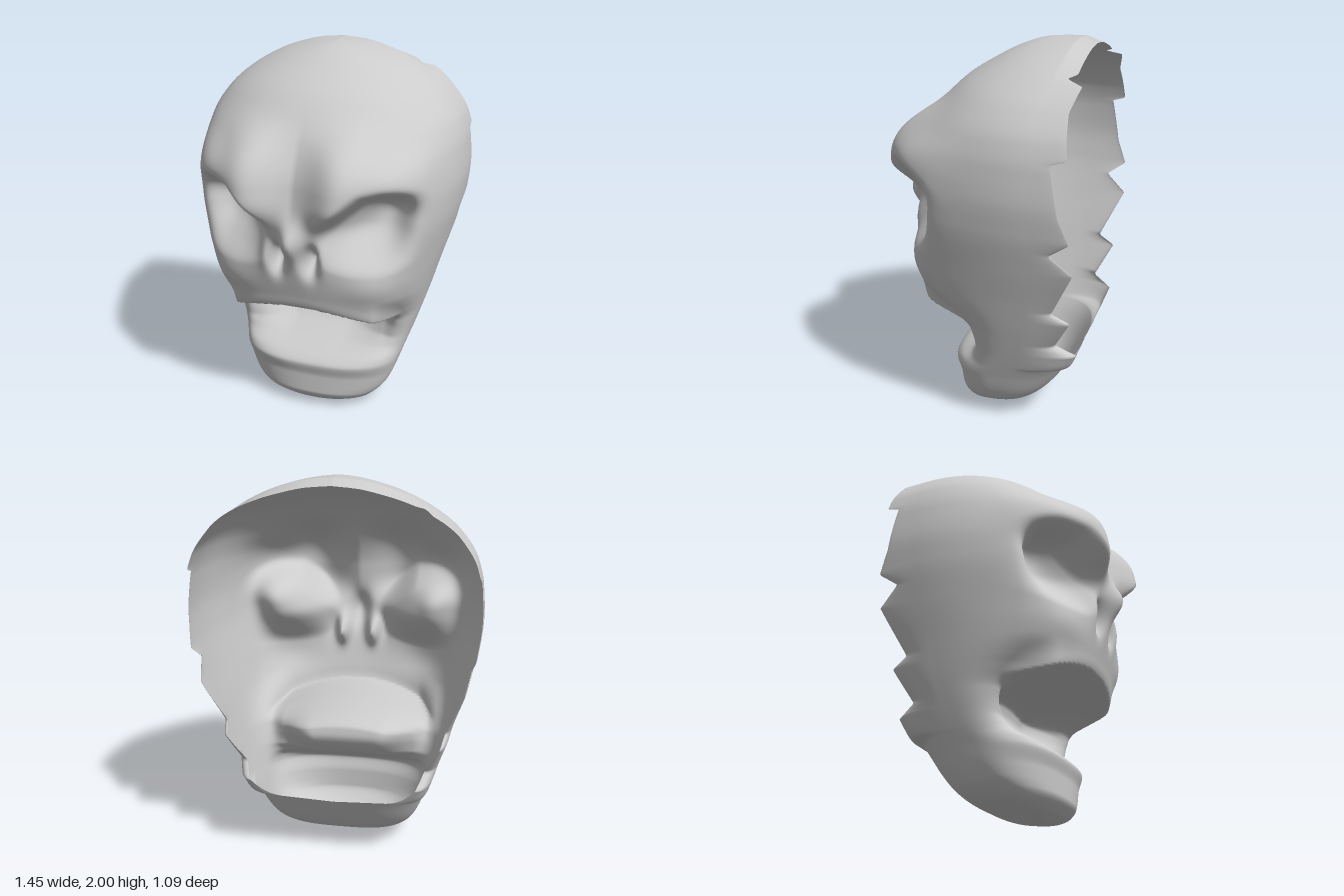
import * as THREE from 'three';
import { mergeVertices } from 'three/addons/utils/BufferGeometryUtils.js';

// Monotone smooth curve through [y, value] pairs
function curve(p) {
  const n = p.length;
  const d = p.slice(1).map((q, i) => (q[1] - p[i][1]) / (q[0] - p[i][0]));
  const m = p.map((_, i) => {
    if (i === 0) return d[0];
    if (i === n - 1) return d[n - 2];
    return d[i - 1] * d[i] <= 0 ? 0 : (2 * d[i - 1] * d[i]) / (d[i - 1] + d[i]);
  });
  return (y) => {
    if (y <= p[0][0]) return p[0][1];
    if (y >= p[n - 1][0]) return p[n - 1][1];
    let i = 0;
    while (y > p[i + 1][0]) i++;
    const h = p[i + 1][0] - p[i][0], t = (y - p[i][0]) / h, t2 = t * t, t3 = t2 * t;
    return (2 * t3 - 3 * t2 + 1) * p[i][1] + (t3 - 2 * t2 + t) * h * m[i]
      + (3 * t2 - 2 * t3) * p[i + 1][1] + (t3 - t2) * h * m[i + 1];
  };
}

// Half-width of the head at each height
const width = curve([[0, 0], [0.01, 0.15], [0.03, 0.24], [0.06, 0.32], [0.14, 0.4], [0.3, 0.46],
  [0.6, 0.555], [0.8, 0.61], [1, 0.665], [1.2, 0.71], [1.35, 0.725], [1.5, 0.715], [1.62, 0.685],
  [1.75, 0.6], [1.85, 0.48], [1.93, 0.33], [1.97, 0.21], [1.99, 0.12], [2, 0]]);
// Front profile: chin, lower lip, mouth step, upper jaw, forehead
const front = curve([[0, 0.08], [0.03, 0.15], [0.1, 0.2], [0.2, 0.2], [0.28, 0.215], [0.32, 0.19],
  [0.38, 0.1], [0.45, 0.06], [0.55, 0.06], [0.66, 0.08], [0.695, 0.16], [0.725, 0.38], [0.8, 0.405],
  [1, 0.45], [1.2, 0.46], [1.4, 0.43], [1.6, 0.34], [1.7, 0.27], [1.8, 0.17], [1.9, 0.01],
  [1.95, -0.09], [1.99, -0.21], [2, -0.28]]);
// Smoother profile beside the corners of the mouth
const cheek = curve([[0.26, 0.21], [0.36, 0.13], [0.45, 0.1], [0.55, 0.13], [0.65, 0.25], [0.72, 0.35], [0.8, 0.405]]);
// Depth of the widest point, squareness of the section, narrowing at the rim
const middle = curve([[0, 0.06], [0.1, -0.02], [0.3, -0.1], [0.45, -0.22], [0.7, -0.28], [1, -0.3],
  [1.7, -0.35], [2, -0.4]]);
const power = curve([[0, 2.1], [0.2, 2.4], [0.3, 2.7], [0.45, 3.5], [0.65, 2.8], [0.8, 2.3], [1, 2.1], [2, 2.1]]);
const rimRatio = curve([[0, 0], [0.35, 0], [0.37, 0.62], [0.42, 0.77], [0.5, 0.85], [0.7, 0.93], [1, 0.98],
  [1.3, 0.99], [2, 1]]);
// Back edge: closed underside of the jaw, then the jagged rim
const underside = curve([[0, 0.04], [0.02, -0.05], [0.05, -0.19], [0.1, -0.28], [0.18, -0.36], [0.36, -0.48]]);
const jags = [[0.36, -0.48], [0.47, -0.52], [0.53, -0.42], [0.7, -0.51], [0.75, -0.42], [1, -0.54],
  [1.1, -0.43], [1.17, -0.53], [1.3, -0.48], [1.54, -0.44], [1.56, -0.51], [1.75, -0.49],
  [1.85, -0.52], [1.88, -0.44], [1.9, -0.48], [2, -0.48]];
function back(y) {
  if (y <= 0.36) return underside(y);
  const i = Math.max(1, jags.findIndex((q) => q[0] >= y));
  const [a, b] = [jags[i - 1], jags[i]];
  return a[1] + (b[1] - a[1]) * Math.min(1, (y - a[0]) / (b[0] - a[0]));
}

const bump = (x, y, cx, cy, sx, sy) => Math.exp(-(((x - cx) / sx) ** 2) - ((y - cy) / sy) ** 2);
const step = (a, b, v) => THREE.MathUtils.smoothstep(v, a, b);

// Relief of the face, added to z; ax is the distance from the middle
function relief(ax, y) {
  let z = 0;
  // brows, full on top and ending in a soft fold
  z += 0.14 * Math.exp(-(((ax - 0.25) / 0.16) ** 2) - ((y - 1.41) / (y > 1.41 ? 0.24 : 0.2)) ** 4);
  z += 0.09 * bump(ax, y, 0.47, 1.46, 0.15, 0.12);
  // cheekbones and outer rims of the eye sockets
  z += 0.06 * bump(ax, y, 0.43, 0.88, 0.18, 0.13) + 0.11 * bump(ax, y, 0.58, 1.16, 0.13, 0.33);
  // eye sockets, deepest beneath the slanting brow
  const d = (Math.abs((ax - 0.37) / 0.27) ** 2.5 + Math.abs((y - 1.2) / 0.24) ** 2.5) ** (1 / 2.5);
  const brow = 1.18 + 0.95 * (ax - 0.12) - 0.75 * Math.max(0, ax - 0.34);
  const depth = 0.15 + 0.15 * step(1.05, 1.4, y);
  z -= depth * (1 - step(0, 1.1, d) ** 1.4) * (1 - step(-0.08, 0.05, y - brow));
  // nose ridge and nostrils
  z += 0.08 * bump(ax, y, 0, 1.13, 0.06, 0.1);
  z += 0.02 * bump(ax, y, 0.15, 1.06, 0.04, 0.1);
  z -= 0.11 * bump(ax, y, 0.088, 1.02, 0.036, 0.075);
  // mouth hollow, its floor sloping forward to the lower lip
  const side = 0.36 + 0.2 * (y - 0.3);
  z -= 0.2 * (1 - step(side - 0.24, side + 0.05, ax)) * step(0.27, 0.58, y)
    * (1 - step(0.62, 0.72, y + 0.51 * ax * ax));
  return z;
}

// One point of the shell: u runs from the right rim (-1) over the face (0) to the left rim (1)
function shellPoint(u, y) {
  const a = Math.abs(u), s = Math.sign(u), w = width(y), zm = middle(y), split = 0.75;
  if (a <= split) {
    const k = Math.sin((a / split) * Math.PI / 2), n = power(y), ax = w * k;
    // the upper lip arches down and fades into the cheek at the corners
    const arch = 0.51 * Math.min(ax, 0.45) ** 2 * step(0.4, 0.55, y) * (1 - step(0.75, 0.95, y));
    const fade = step(0.37, 0.49, ax) * step(0.26, 0.36, y) * (1 - step(0.7, 0.8, y));
    const zf = THREE.MathUtils.lerp(front(y + arch), cheek(y), fade);
    const dome = Math.max(0, 1 - k ** n) ** (1 / n);
    return [s * ax, y, zm + (zf - zm) * dome + relief(ax, y) * Math.min(1, dome * 1.8)];
  }
  // the jaw closes squarely beneath; the crown dips slightly at the rim
  const b = ((a - split) / (1 - split)) * Math.PI / 2, wb = w * rimRatio(y);
  const e = 0.65 + 0.35 * step(0.36, 0.5, y);
  const c = a === 1 ? 0 : Math.cos(b) ** e, q = Math.sin(b) ** e;
  return [s * (wb + (w - wb) * c), y - 0.03 * q * step(1.8, 2, y), zm + (back(y) - zm) * q];
}

export function createModel() {
  const rows = 250, cols = 192, pos = [], index = [];
  for (let i = 0; i <= rows; i++) {
    const t = i / rows;
    // rows gather towards the crown and the chin
    const y = 2 * (0.5 * t + 0.25 * (1 - Math.cos(Math.PI * t)));
    const yy = i < 6 ? y * (i / 6) : i > rows - 6 ? 2 - (2 - y) * ((rows - i) / 6) : y;
    for (let j = 0; j <= cols; j++) pos.push(...shellPoint((2 * j) / cols - 1, yy));
  }
  for (let i = 0; i < rows; i++) {
    for (let j = 0; j < cols; j++) {
      const a = i * (cols + 1) + j, b = a + cols + 1;
      index.push(a, a + 1, b, a + 1, b + 1, b);
    }
  }
  let geometry = new THREE.BufferGeometry();
  geometry.setAttribute('position', new THREE.Float32BufferAttribute(pos, 3));
  geometry.setIndex(index);
  geometry = mergeVertices(geometry, 1e-5);
  geometry.computeVertexNormals();

  const material = new THREE.MeshStandardMaterial({ color: 0xcccccc, side: THREE.DoubleSide });
  const shell = new THREE.Mesh(geometry, material);
  shell.name = 'skullMask';
  const group = new THREE.Group();
  group.name = 'mask';
  group.add(shell);
  return group;
}
